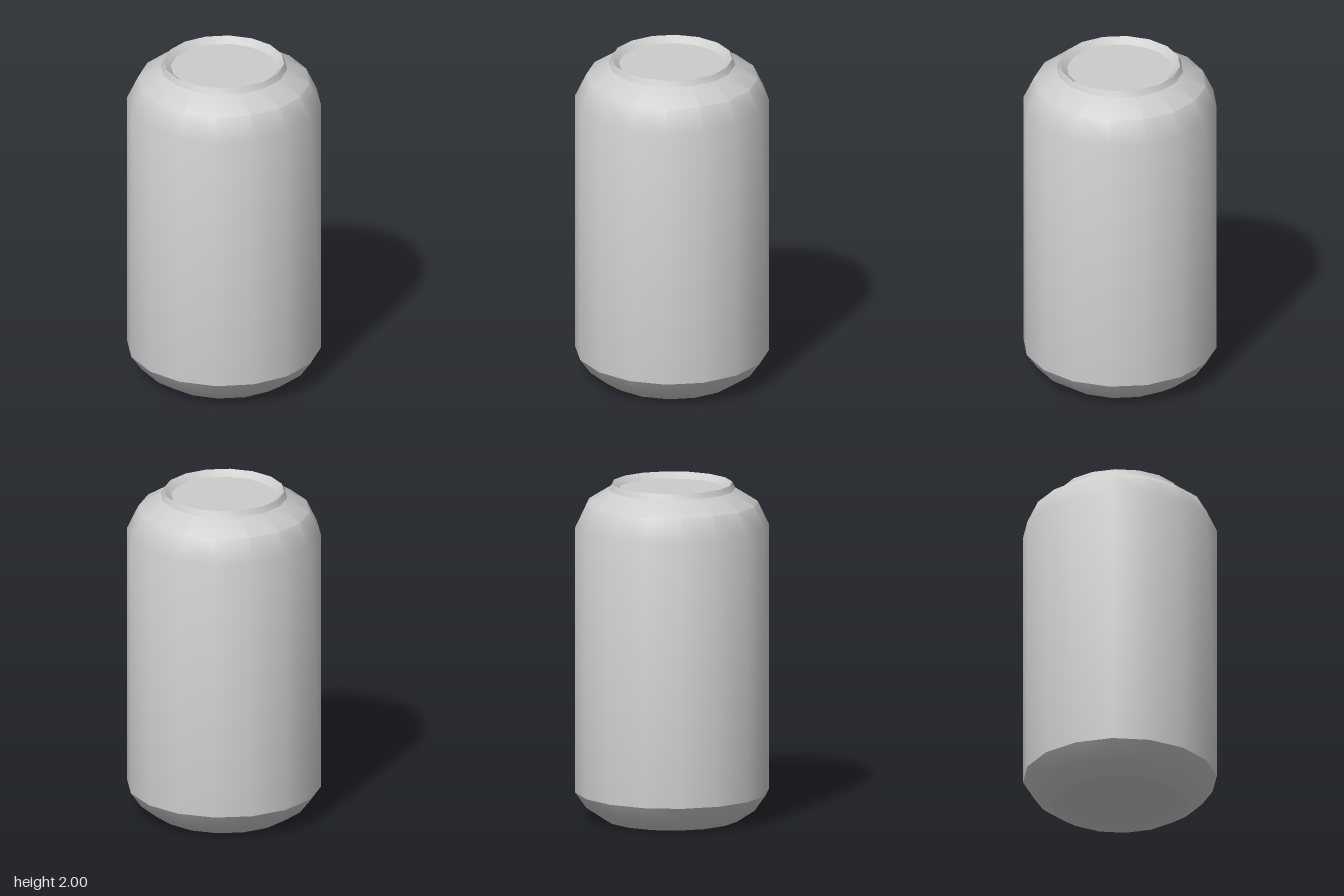
import * as THREE from 'three';
import { toCreasedNormals } from 'three/addons/utils/BufferGeometryUtils.js';

const SIDES = 16;
const TWIST = THREE.MathUtils.degToRad(1.8);
const CREASE = 0.6;

const metal = new THREE.MeshStandardMaterial({ color: 0xcccccc });
metal.name = 'plain metal';

// Spins a [radius, height] profile into a 16-sided part; profiles run so faces point outwards
function turned(name, profile) {
  const points = profile.map(([r, y]) => new THREE.Vector2(r, y));
  const geometry = new THREE.LatheGeometry(points, SIDES).rotateY(TWIST);
  const mesh = new THREE.Mesh(toCreasedNormals(geometry, CREASE), metal);
  mesh.name = name;
  return mesh;
}

export function createModel() {
  const can = new THREE.Group();
  can.name = 'drinkCan';

  // Dished underside
  can.add(turned('base', [[0, 0.09], [0.15, 0.08], [0.29, 0.05], [0.4, 0]]));

  // Lower chamfer, straight wall and shoulder
  can.add(turned('body', [
    [0.4, 0], [0.505, 0.07], [0.57, 0.162],
    [0.57, 1.745], [0.505, 1.882], [0.372, 1.965],
  ]));

  // Neck and raised rim, sloping in to the sunken lid
  can.add(turned('rim', [[0.372, 1.965], [0.355, 2], [0.312, 1.965]]));
  can.add(turned('lid', [[0.312, 1.965], [0, 1.965]]));

  return can;
}
